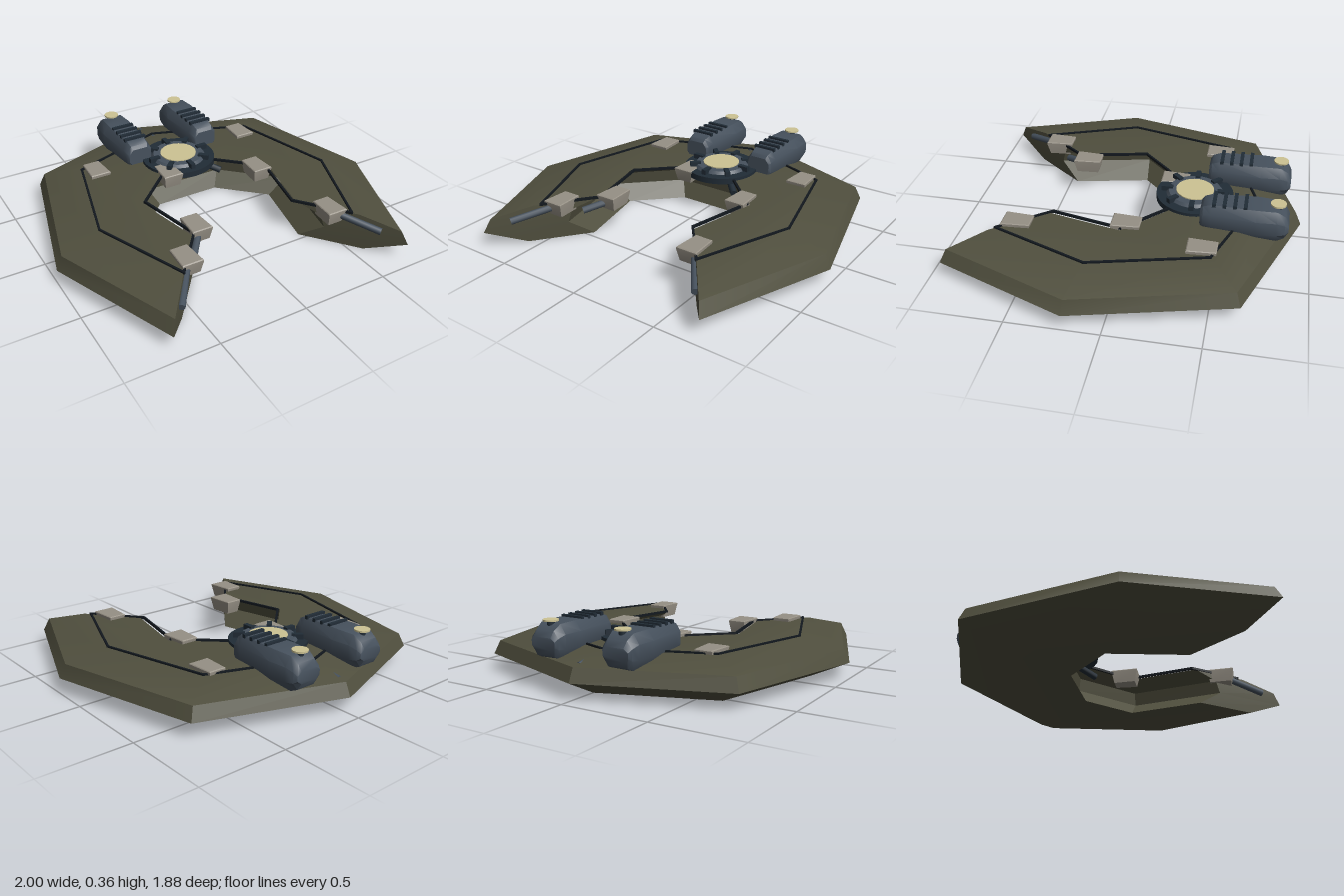
import * as THREE from 'three';
import { toCreasedNormals } from 'three/addons/utils/BufferGeometryUtils.js';

const V2 = (x, y) => new THREE.Vector2(x, y);
const V3 = (x, y, z) => new THREE.Vector3(x, y, z);

function material(name, color) {
  const m = new THREE.MeshStandardMaterial({ color });
  m.name = name;
  return m;
}

// Skin a closed outline through several sections; each section maps an outline point to 3D.
function loft(outline, sections, crease) {
  if (THREE.ShapeUtils.isClockWise(outline)) outline.reverse();
  const rings = sections.map((place) => outline.map(place));
  const pos = [];
  const tri = (...pts) => pts.forEach((p) => pos.push(p.x, p.y, p.z));
  const n = outline.length;
  for (let s = 0; s < rings.length - 1; s++) {
    for (let i = 0; i < n; i++) {
      const j = (i + 1) % n;
      const a = rings[s], b = rings[s + 1];
      tri(a[i], a[j], b[j]);
      tri(a[i], b[j], b[i]);
    }
  }
  const first = rings[0], last = rings[rings.length - 1];
  for (let [a, b, c] of THREE.ShapeUtils.triangulateShape(outline, [])) {
    if (THREE.ShapeUtils.area([outline[a], outline[b], outline[c]]) < 0) [b, c] = [c, b];
    tri(last[a], last[b], last[c]);
    tri(first[a], first[c], first[b]);
  }
  const geo = new THREE.BufferGeometry();
  geo.setAttribute('position', new THREE.Float32BufferAttribute(pos, 3));
  return toCreasedNormals(geo, crease);
}

export function createModel() {
  const model = new THREE.Group();
  model.name = 'crescentShip';
  const olive = material('olive hull', 0x504f3e);
  const steel = material('blue steel', 0x46515d);
  const dark = material('dark steel', 0x212c36);
  const line = material('black trim', 0x12181e);
  const cream = material('cream glow', 0xcdc394);
  const stone = material('warm grey', 0x969085);

  const add = (name, geo, mat, x = 0, y = 0, z = 0, parent = model) => {
    const mesh = new THREE.Mesh(geo, mat);
    mesh.name = name;
    mesh.position.set(x, y, z);
    parent.add(mesh);
    return mesh;
  };

  // Rod between two points
  const rod = (name, a, b, radius, mat) => {
    const d = b.clone().sub(a);
    const m = add(name, new THREE.CylinderGeometry(radius, radius, d.length(), 10), mat);
    m.position.copy(a).add(b).multiplyScalar(0.5);
    m.quaternion.setFromUnitVectors(V3(0, 1, 0), d.normalize());
  };

  // Crescent hull: one plan outline, scaled at each height
  const half = [[0.78, -0.66], [1, 0.2], [0.715, 0.94], [0.43, 0.575], [0.55, 0.03], [0.24, -0.27]];
  const plan = [[0, -0.94], ...half, ...half.map(([x, z]) => [-x, z]).reverse()];
  const levels = [[0.8, 0], [1, 0.09], [0.965, 0.165], [0.765, 0.215]];
  add('hull', loft(plan.map(([x, z]) => V2(x, -z)),
    levels.map(([s, y]) => (p) => V3(p.x * s, y, -p.y * s)), 0.6), olive);

  // Raised trim following the deck outline
  plan.forEach(([x, z], i) => {
    const [x2, z2] = plan[(i + 1) % plan.length];
    const s = 0.73;
    const strip = add('deckTrim', new THREE.BoxGeometry(0.012, 0.014, Math.hypot(x2 - x, z2 - z) * s + 0.01),
      line, (x + x2) / 2 * s, 0.217, (z + z2) / 2 * s);
    strip.rotation.y = Math.atan2(x2 - x, z2 - z);
  });

  // Central hatch with eight radial clamps
  const hatch = new THREE.Group();
  hatch.name = 'hatch';
  hatch.position.z = -0.33;
  model.add(hatch);
  add('hatchBase', new THREE.CylinderGeometry(0.22, 0.22, 0.035, 40), dark, 0, 0.215, 0, hatch);
  add('hatchCollar', new THREE.CylinderGeometry(0.15, 0.165, 0.02, 40), steel, 0, 0.24, 0, hatch);
  add('hatchLens', new THREE.CylinderGeometry(0.108, 0.108, 0.012, 36), cream, 0, 0.25, 0, hatch);
  for (let i = 0; i < 8; i++) {
    const a = i * Math.PI / 4;
    const clamp = add('hatchClamp', new THREE.BoxGeometry(0.028, 0.03, 0.065), dark,
      Math.sin(a) * 0.16, 0.247, Math.cos(a) * 0.16, hatch);
    clamp.rotation.y = a;
  }

  // Twin engine pods: chamfered cross-section, sections are [z, half width, bottom, top]
  const section = [[1, 0.3], [1, 0.72], [0.66, 1], [-0.66, 1], [-1, 0.72], [-1, 0.3], [-0.66, 0], [0.66, 0]];
  const podSections = [
    [-0.865, 0.075, 0.215, 0.28], [-0.845, 0.085, 0.18, 0.315], [-0.8, 0.095, 0.16, 0.345],
    [-0.69, 0.105, 0.16, 0.348], [-0.45, 0.085, 0.17, 0.346], [-0.405, 0.08, 0.18, 0.33],
    [-0.39, 0.07, 0.2, 0.31],
  ];
  for (const side of [-1, 1]) {
    const pod = new THREE.Group();
    pod.name = side > 0 ? 'leftEngine' : 'rightEngine';
    pod.position.x = side * 0.225;
    model.add(pod);
    add('engineBody', loft(section.map(([x, y]) => V2(x, y)),
      podSections.map(([z, w, lo, hi]) => (p) => V3(p.x * w, lo + p.y * (hi - lo), z)), 0.6),
      steel, 0, 0, 0, pod);
    for (let i = 0; i < 4; i++) {
      add('engineSlat', new THREE.BoxGeometry(0.135, 0.02, 0.02), dark, 0, 0.349, -0.63 + i * 0.056, pod);
    }
    add('engineStem', new THREE.CylinderGeometry(0.02, 0.02, 0.03, 16), dark, 0, 0.343, -0.8, pod);
    add('engineCap', new THREE.CylinderGeometry(0.042, 0.042, 0.009, 24), cream, 0, 0.36, -0.8, pod);
  }

  // Hopper-shaped turret housings, wider at the front and tapering downward
  const housing = loft([V2(-0.06, -0.08), V2(0.06, -0.08), V2(0.05, 0.08), V2(-0.05, 0.08)],
    [[0.8, 0.155], [1, 0.226], [1, 0.232], [0.93, 0.236]].map(([s, y]) => (p) => V3(p.x * s, y, -p.y * s)), 0.3);
  for (const [x, z] of [[-0.5, -0.43], [0.5, -0.43], [-0.14, -0.2], [0.35, 0], [-0.27, 0.36],
    [-0.455, 0.585], [0.445, 0.585]]) {
    add('turretHousing', housing, stone, x, 0, z);
  }

  // Gun barrels dipping outward from the housings
  for (const side of [-1, 1]) {
    rod('tipBarrel', V3(side * 0.46, 0.2, 0.61), V3(side * 0.615, 0.145, 0.83), 0.02, steel);
  }
  rod('innerBarrel', V3(-0.27, 0.195, 0.39), V3(-0.37, 0.155, 0.515), 0.02, steel);
  rod('bayBarrel', V3(0.12, 0.19, -0.24), V3(0.2, 0.155, -0.16), 0.02, dark);
  rod('rearBarrel', V3(0, 0.205, -0.66), V3(0, 0.165, -0.86), 0.015, steel);

  return model;
}
